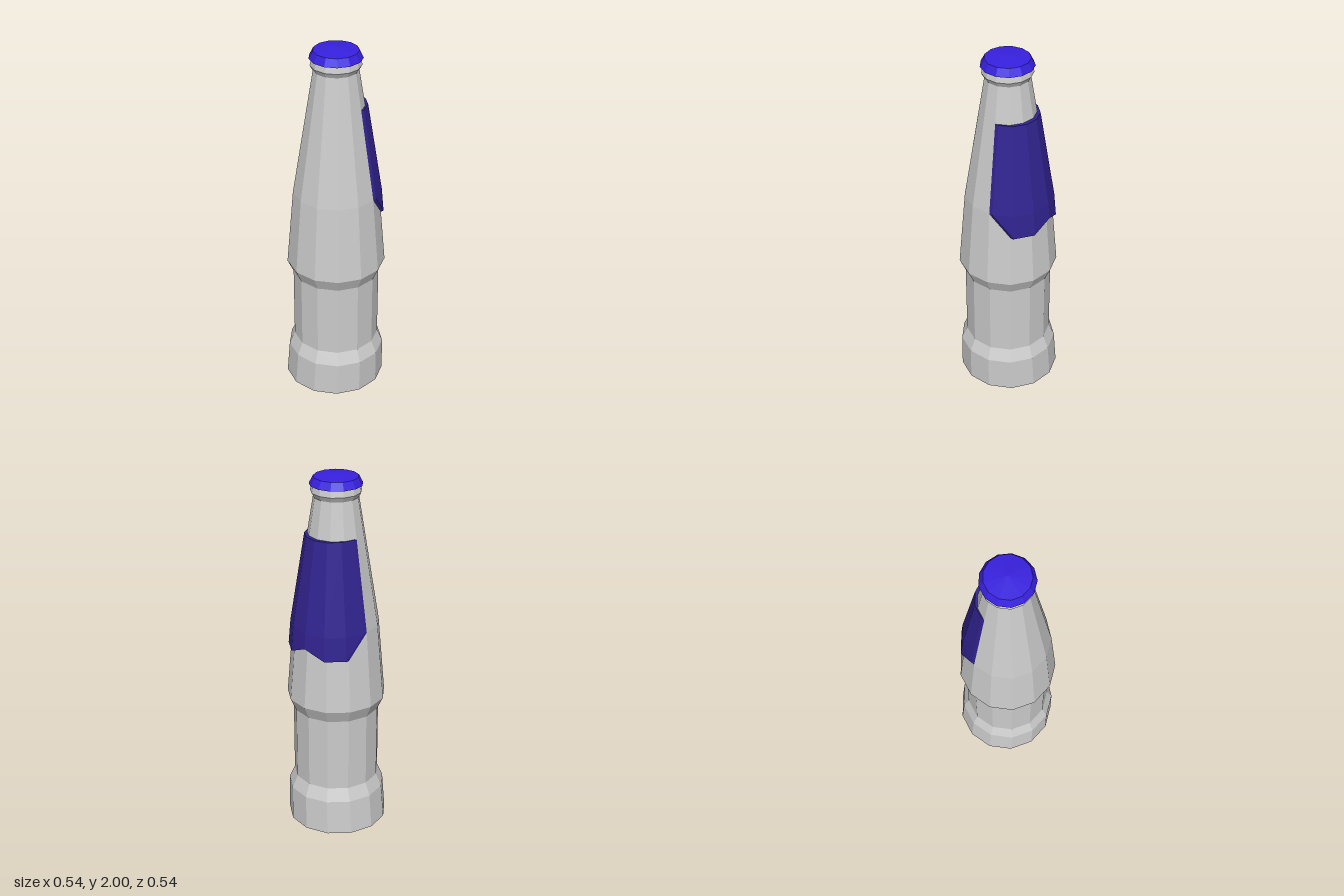
import * as THREE from 'three';

const SIDES = 13;
const AXIS_Z = 0.008;

function material(color) {
  return new THREE.MeshStandardMaterial({ color, flatShading: true });
}

// Faceted solid of revolution with one corner pointing to the back
function turned(name, profile, color) {
  const points = profile.map(([r, y]) => new THREE.Vector2(r, y));
  const geometry = new THREE.LatheGeometry(points, SIDES, Math.PI);
  geometry.translate(0, 0, AXIS_Z);
  const mesh = new THREE.Mesh(geometry, material(color));
  mesh.name = name;
  return mesh;
}

// Raised label wrapped around the left side, following the bottle's facets
function makeLabel() {
  const top = 1.69, bend = 1.2, lift = 0.02;
  const bottoms = [1.2, 1.07, 1.07, 1.12, 1.07, 1.07, 1.2];
  const radius = (y) => (y > bend ? 0.228 - (y - bend) * 0.161 : 0.228 + (bend - y) * 0.086);

  // Each column is a closed section: outer top, bend, bottom, then inner bottom, bend, top
  const columns = bottoms.map((bottom, k) => {
    const a = (k / SIDES) * Math.PI * 2;
    const point = (y, dx) => [radius(y) * Math.sin(a) + dx, y, AXIS_Z - radius(y) * Math.cos(a)];
    return [
      point(top, lift), point(bend, lift), point(bottom, lift),
      point(bottom, 0), point(bend, 0), point(top, 0),
    ];
  });

  const positions = [];
  const quad = (a, b, c, d) => positions.push(...a, ...b, ...c, ...a, ...c, ...d);
  for (let k = 0; k < columns.length - 1; k++) {
    const p = columns[k], q = columns[k + 1];
    for (const j of [0, 1, 2, 5]) {
      const n = (j + 1) % 6;
      quad(q[n], p[n], p[j], q[j]);
    }
  }
  // End walls
  const first = columns[0], last = columns[columns.length - 1];
  quad(first[0], first[1], first[4], first[5]);
  quad(last[5], last[4], last[1], last[0]);

  const geometry = new THREE.BufferGeometry();
  geometry.setAttribute('position', new THREE.Float32BufferAttribute(positions, 3));
  geometry.computeVertexNormals();
  const mesh = new THREE.Mesh(geometry, material(0x312390));
  mesh.name = 'label';
  return mesh;
}

export function createModel() {
  const group = new THREE.Group();
  group.name = 'bottle';

  // Glass body: hollow underside, foot, waist, shoulder, neck and lip
  const body = turned('body', [
    [0, 0.06], [0.11, 0.05], [0.17, 0.015], [0.204, 0],
    [0.27, 0.04], [0.262, 0.23], [0.232, 0.3], [0.232, 0.71],
    [0.264, 0.78], [0.228, 1.2], [0.117, 1.885],
    [0.132, 1.912], [0.125, 1.945], [0, 1.955],
  ], 0xcccccc);

  // The foot sits slightly further back than the rest
  const pos = body.geometry.attributes.position;
  for (let i = 0; i < pos.count; i++) {
    if (pos.getY(i) < 0.1) pos.setZ(i, pos.getZ(i) - 0.01);
  }
  body.geometry.computeVertexNormals();
  group.add(body);

  // Cap
  group.add(turned('cap', [
    [0.11, 1.958], [0.138, 1.948], [0.117, 1.988], [0, 2],
  ], 0x3820e0));

  group.add(makeLabel());
  return group;
}
